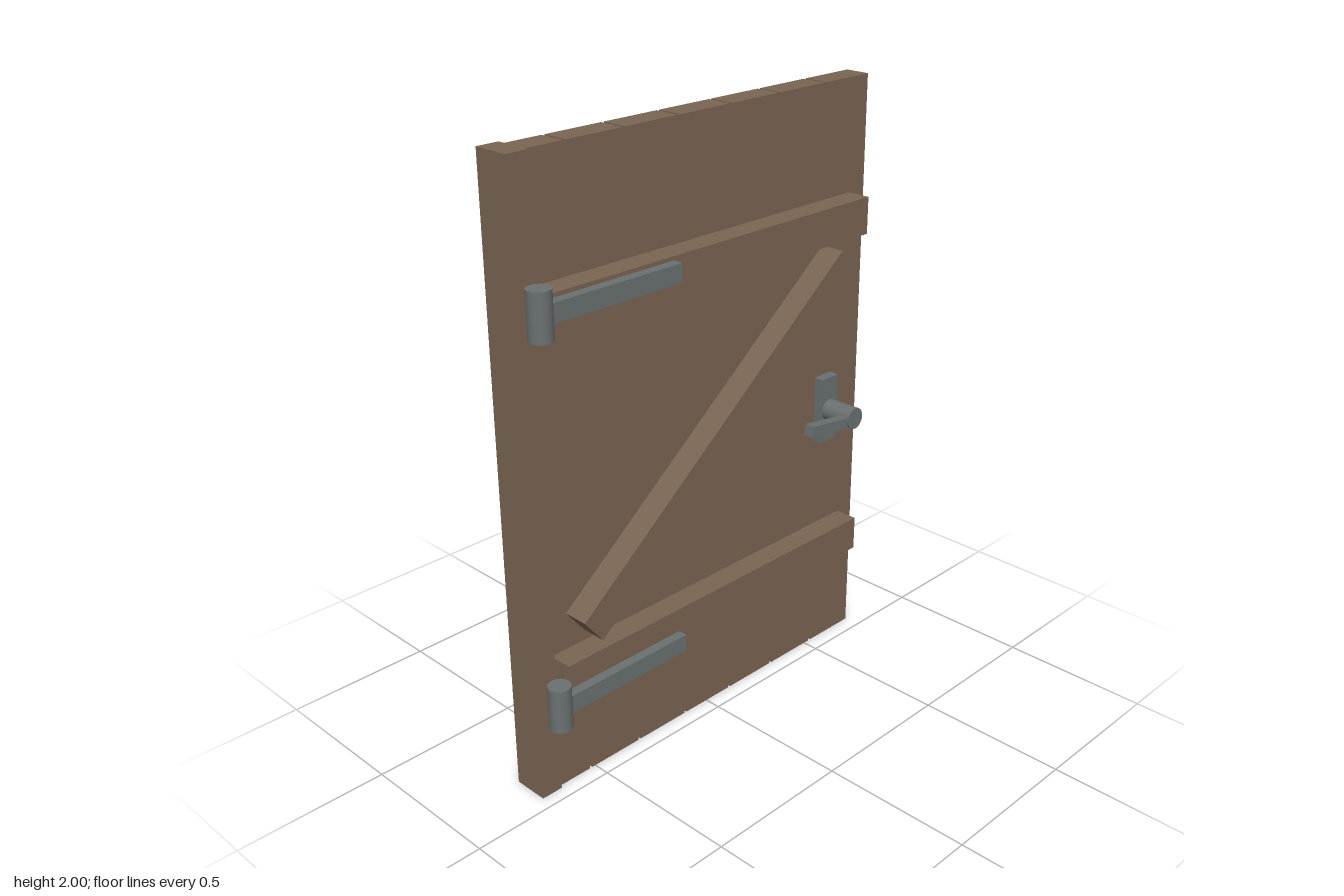
import * as THREE from 'three';

export function createModel() {
  const door = new THREE.Group();
  door.name = 'plankDoor';

  const wood = new THREE.MeshStandardMaterial({ color: 0x7a6553 });
  wood.name = 'brown wood';
  const iron = new THREE.MeshStandardMaterial({ color: 0x6a7070 });
  iron.name = 'grey iron';

  function add(name, geometry, material, x, y, z, parent = door) {
    const mesh = new THREE.Mesh(geometry, material);
    mesh.name = name;
    mesh.position.set(x, y, z);
    parent.add(mesh);
    return mesh;
  }

  // Box given by its limits on each axis
  function block(name, material, [x0, x1], [y0, y1], [z0, z1], parent) {
    return add(name, new THREE.BoxGeometry(x1 - x0, y1 - y0, z1 - z0), material,
      (x0 + x1) / 2, (y0 + y1) / 2, (z0 + z1) / 2, parent);
  }

  // Seven upright planks with narrow gaps
  const pitch = 0.2092, width = 0.199;
  for (let i = 0; i < 7; i++) {
    const right = 0.732 - i * pitch;
    block(`plank${i + 1}`, wood, [right - width, right], [0, 2], [-0.141, -0.056]);
  }

  // Thicker post along the hinge side
  block('hingePost', wood, [-0.722, -0.648], [0, 2], [-0.164, -0.045]);

  // Cross battens
  block('lowerBatten', wood, [-0.652, 0.662], [0.358, 0.476], [-0.056, 0.023]);
  block('upperBatten', wood, [-0.652, 0.662], [1.508, 1.63], [-0.056, 0.023]);

  // Diagonal brace
  const brace = add('diagonalBrace', new THREE.BoxGeometry(1.43, 0.11, 0.085), wood, 0.0075, 0.996, -0.0135);
  brace.rotation.z = Math.atan2(0.8835, 1.125);

  // Strap hinges, each with an upright barrel
  for (const [name, y] of [['lowerHinge', 0.368], ['upperHinge', 1.588]]) {
    const hinge = new THREE.Group();
    hinge.name = name;
    hinge.position.y = y;
    door.add(hinge);
    add('hingeBarrel', new THREE.CylinderGeometry(0.036, 0.036, 0.145, 24), iron, -0.701, 0, 0.036, hinge);
    block('hingeStrap', iron, [-0.7, -0.2], [-0.029, 0.029], [0.021, 0.055], hinge);
  }

  // Latch: back plate, round spindle and slightly raised lever
  const latch = new THREE.Group();
  latch.name = 'latch';
  door.add(latch);
  block('latchPlate', iron, [0.428, 0.504], [0.851, 1.075], [0.02, 0.053], latch);
  const spindle = add('latchSpindle', new THREE.CylinderGeometry(0.036, 0.036, 0.125, 24), iron,
    0.466, 0.962, 0.1, latch);
  spindle.rotation.x = Math.PI / 2;
  const lever = add('latchLever', new THREE.BoxGeometry(0.2, 0.036, 0.034), iron, 0.364, 0.963, 0.141, latch);
  lever.rotation.z = -0.14;

  return door;
}
